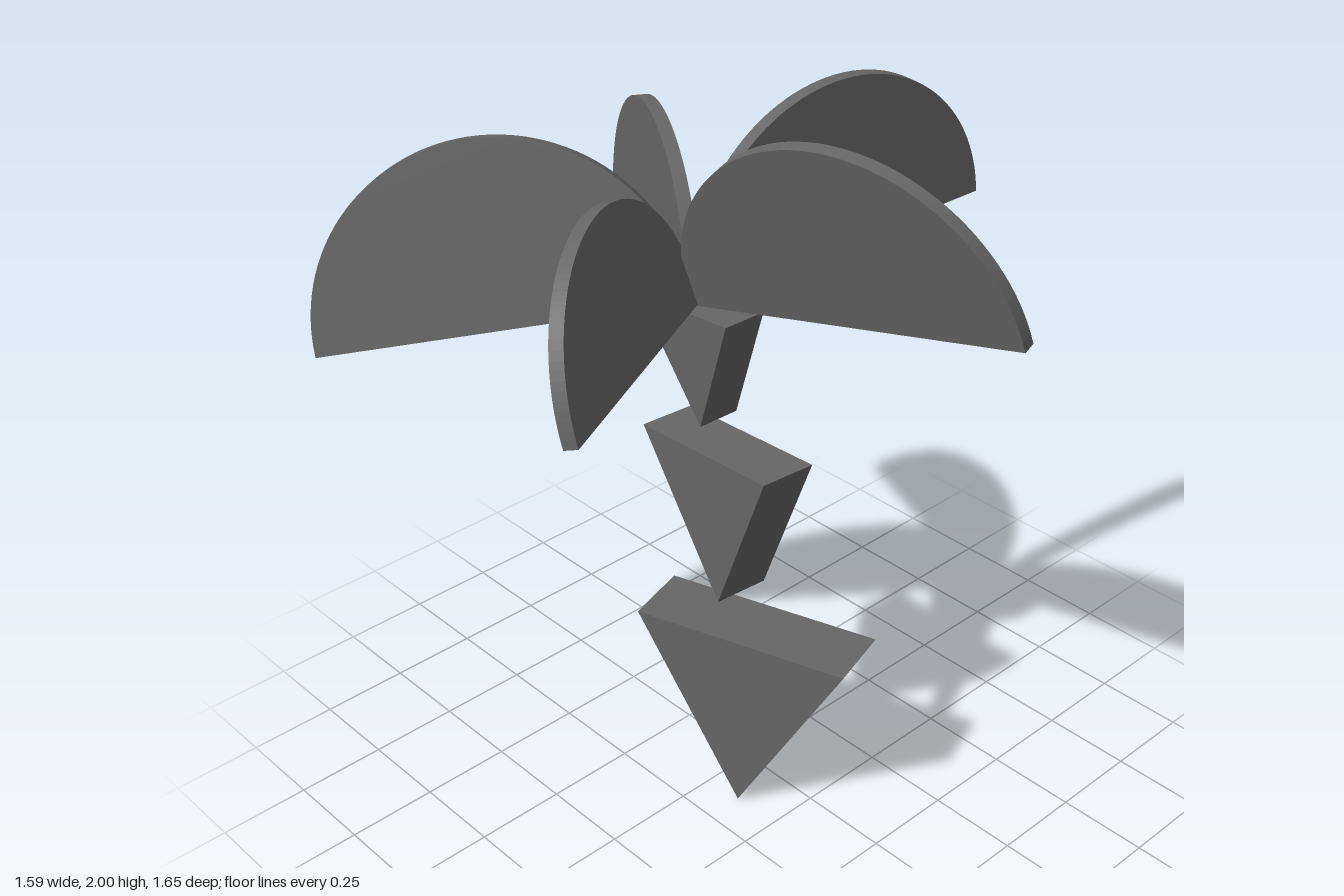
import * as THREE from 'three';

const V = (x, y, z) => new THREE.Vector3(x, y, z);

// Wedge: triangle front / back / tip on the left side, swept along w to the right side
function wedgeGeometry(front, back, tip, w) {
  const near = [front, tip, back].map((p) => V(...p));
  const far = near.map((p) => p.clone().add(V(...w)));
  const points = [...near, far[0], far[2], far[1]];
  for (let i = 0; i < 3; i++) {
    const j = (i + 1) % 3;
    points.push(near[i], far[i], far[j], near[i], far[j], near[j]);
  }
  const geometry = new THREE.BufferGeometry().setFromPoints(points);
  geometry.computeVertexNormals();
  return geometry;
}

// Half disc whose straight edge runs from the crown to the tip, leaning sideways
function leafGeometry(start, tip, lean, thickness) {
  const along = tip.clone().sub(start);
  const radius = along.length() / 2;
  along.normalize();
  const shape = new THREE.Shape();
  shape.absarc(0, 0, radius, 0, Math.PI, false);
  shape.closePath();
  const geometry = new THREE.ExtrudeGeometry(shape, { depth: thickness, bevelEnabled: false, curveSegments: 28 });
  geometry.translate(radius, 0, -thickness / 2);
  const up = V(0, 1, 0).addScaledVector(along, -along.y).normalize().applyAxisAngle(along, lean);
  const basis = new THREE.Matrix4().makeBasis(along, up, along.clone().cross(up));
  return geometry.applyMatrix4(basis.setPosition(start));
}

export function createModel() {
  const model = new THREE.Group();
  model.name = 'palmTree';
  const material = new THREE.MeshStandardMaterial({ color: 0x666666, flatShading: true });
  const add = (name, geometry, parent) => {
    const mesh = new THREE.Mesh(geometry, material);
    mesh.name = name;
    parent.add(mesh);
  };

  // Trunk: three stacked wedges, shrinking upwards
  const trunk = new THREE.Group();
  trunk.name = 'trunk';
  model.add(trunk);
  [
    ['lowerTrunk', [0.133, 0.535, 0.348], [-0.062, 0.54, -0.232], [0.035, 0, 0.055], [-0.182, 0, 0.057]],
    ['middleTrunk', [-0.01, 1.092, 0.24], [0.035, 1.033, -0.26], [0.017, 0.625, 0.042], [-0.155, 0, -0.013]],
    ['upperTrunk', [-0.055, 1.485, 0.11], [-0.01, 1.425, -0.265], [-0.017, 1.137, -0.027], [-0.115, -0.005, -0.01]],
  ].forEach(([name, ...shape]) => add(name, wedgeGeometry(...shape), trunk));

  // Crown: five leaves fanning out from one point
  const crown = new THREE.Group();
  crown.name = 'crown';
  model.add(crown);
  const centre = V(-0.095, 1.455, -0.093);
  [
    ['leftLeaf', V(0.79, 1.525, 0.035), 0],
    ['frontLeaf', V(0.066, 1.62, 0.818), 0.21],
    ['frontRightLeaf', V(-0.785, 1.478, 0.274), 0.25],
    ['backRightLeaf', V(-0.783, 1.302, -0.742), 0.23],
    ['backLeaf', V(0.275, 1.35, -0.815), 0.02],
  ].forEach(([name, tip, lean]) => add(name, leafGeometry(centre, tip, lean, 0.037), crown));

  return model;
}
